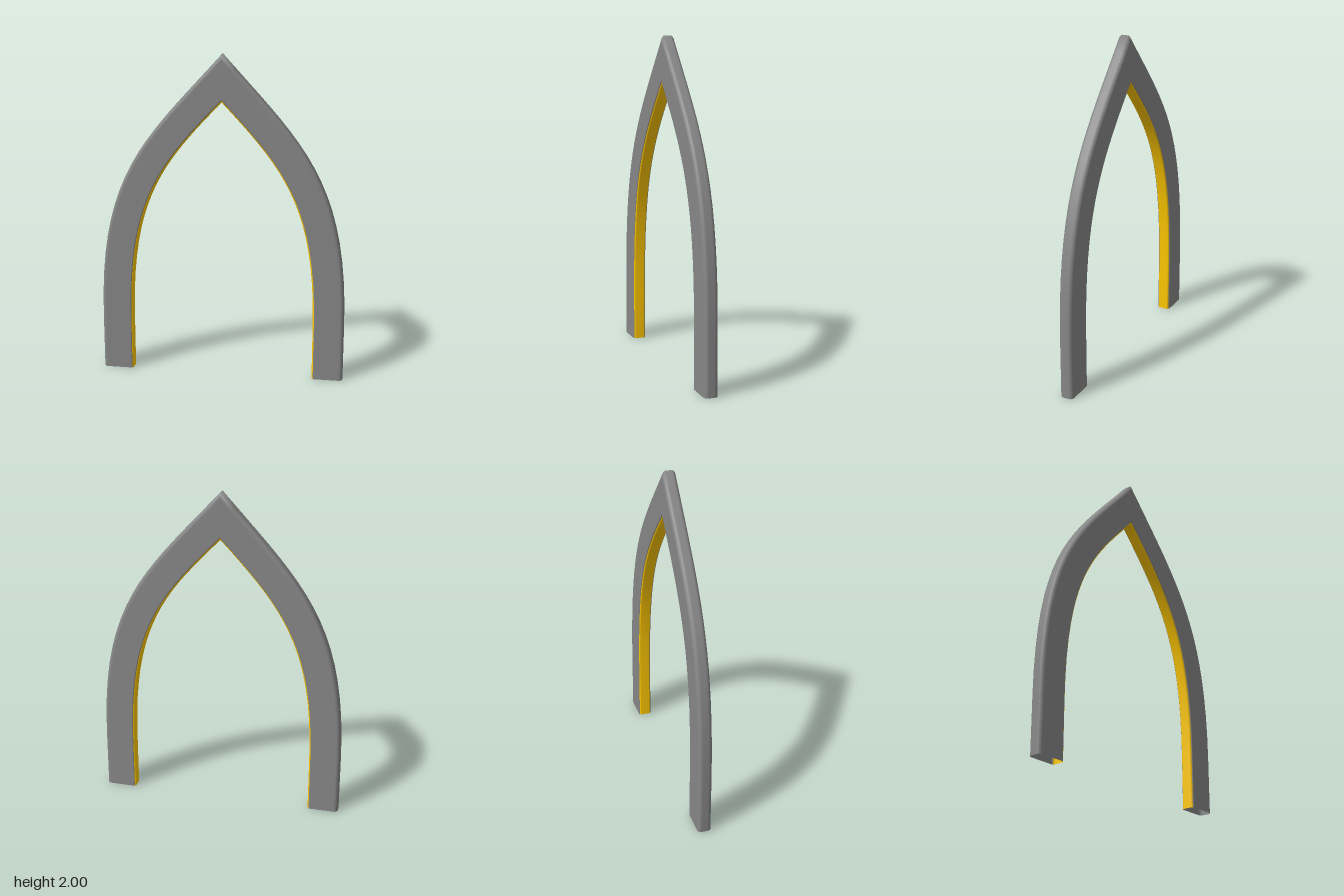
import * as THREE from 'three';

const HALF = 0.041;   // half thickness in z
const DEPTH = 0.19;   // width from outer edge to inner lining
const STEPS = 18;

// Outer edge of one half: straight foot, then a curve up to the pointed top
const foot = new THREE.Vector2(0.755, 0);
const curve = new THREE.CubicBezierCurve(
  new THREE.Vector2(0.755, 0.35), new THREE.Vector2(0.755, 1.27),
  new THREE.Vector2(0.47, 1.48), new THREE.Vector2(0, 2));

// Each station holds an outer point and an inward direction, mitred at the top
function stations() {
  const list = [{ p: foot, m: new THREE.Vector2(-1, 0) }];
  const end = curve.getTangent(1);
  for (let i = 0; i <= STEPS; i++) {
    const t = i / STEPS;
    const tan = curve.getTangent(t);
    const m = new THREE.Vector2(-tan.y, tan.x);
    m.addScaledVector(tan, (end.y / end.x) * t * t);
    if (i === STEPS) m.x = 0;
    list.push({ p: curve.getPoint(t), m });
  }
  return list;
}

// Sweep an open profile of [depth, z] points up one half; side is +1 or -1
function sweepHalf(profile, side) {
  const pos = [], idx = [], n = profile.length;
  const path = stations();
  path.forEach(({ p, m }, i) => {
    profile.forEach(([d, z], j) => {
      pos.push(side * (p.x + m.x * d), p.y + m.y * d, z);
      if (i === path.length - 1 || j === n - 1) return;
      const a = i * n + j, b = a + 1, c = a + n, e = c + 1;
      if (side > 0) idx.push(a, b, c, b, e, c);
      else idx.push(a, c, b, b, c, e);
    });
  });
  const geo = new THREE.BufferGeometry();
  geo.setAttribute('position', new THREE.Float32BufferAttribute(pos, 3));
  geo.setIndex(idx);
  geo.computeVertexNormals();

  // Let the shading run smoothly across the top where both halves meet
  const normal = geo.attributes.normal, v = new THREE.Vector3();
  for (let k = (path.length - 1) * n; k < normal.count; k++) {
    v.fromBufferAttribute(normal, k).setX(0).normalize();
    normal.setXYZ(k, v.x, v.y, v.z);
  }
  return geo;
}

// Frame profile: inner lip, front face, rounded outer edge, back face, inner lip
function frameProfile() {
  const r = 0.024, half = [[DEPTH - 0.008, HALF - 0.005], [DEPTH - 0.010, HALF - 0.001], [DEPTH - 0.014, HALF]];
  for (let k = 0; k <= 6; k++) {
    const a = (k / 6) * Math.PI / 2;
    half.push([r - r * Math.sin(a), HALF - r + r * Math.cos(a)]);
  }
  return [...half, ...half.slice().reverse().map(([d, z]) => [d, -z])];
}

// Lining profile: shallow strip with softened edges along the opening
const liningProfile = [
  [DEPTH - 0.008, -HALF + 0.005], [DEPTH - 0.002, -HALF + 0.008], [DEPTH, -HALF + 0.013],
  [DEPTH, HALF - 0.013], [DEPTH - 0.002, HALF - 0.008], [DEPTH - 0.008, HALF - 0.005],
];

export function createModel() {
  const model = new THREE.Group();
  model.name = 'pointedArch';
  const grey = new THREE.MeshStandardMaterial({ color: 0x878787, side: THREE.DoubleSide });
  const yellow = new THREE.MeshStandardMaterial({ color: 0xffc800, side: THREE.DoubleSide });
  for (const [side, label] of [[1, 'left'], [-1, 'right']]) {
    const frame = new THREE.Mesh(sweepHalf(frameProfile(), side), grey);
    frame.name = label + 'Frame';
    const lining = new THREE.Mesh(sweepHalf(liningProfile, side), yellow);
    lining.name = label + 'InnerLining';
    model.add(frame, lining);
  }
  return model;
}
